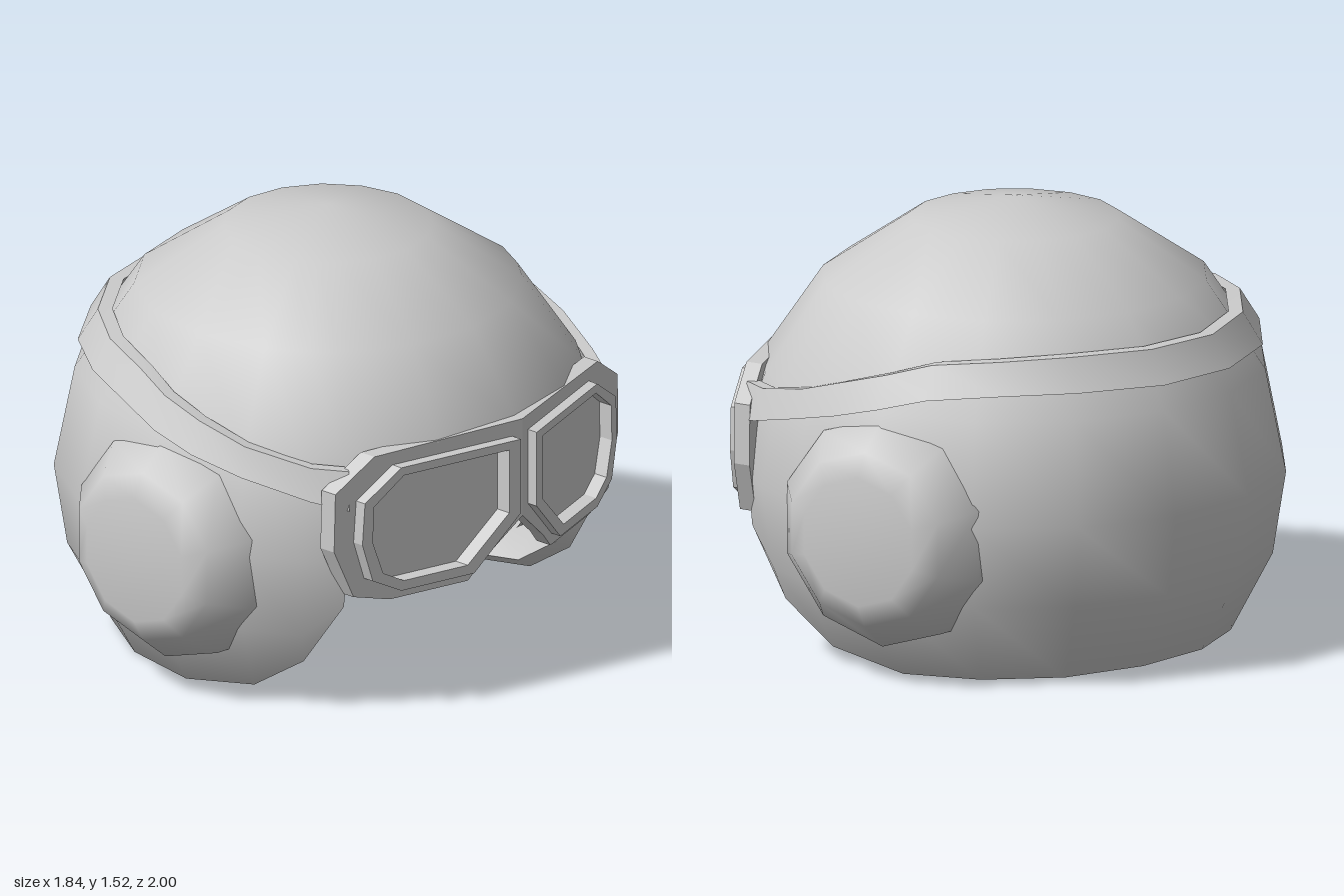
import * as THREE from 'three';
import { toCreasedNormals } from 'three/addons/utils/BufferGeometryUtils.js';

const CENTER_Y = 0.59, R_OUT = 0.93, R_IN = 0.875;
const rad = THREE.MathUtils.degToRad;
const material = new THREE.MeshStandardMaterial({ color: 0xcccccc });

function part(name, geometry) {
  const mesh = new THREE.Mesh(geometry, material);
  mesh.name = name;
  return mesh;
}

// Point on the helmet sphere: longitude from +x towards +z, elevation up
function onSphere(r, lon, el) {
  const c = r * Math.cos(rad(el));
  return new THREE.Vector3(c * Math.cos(rad(lon)), CENTER_Y + r * Math.sin(rad(el)), c * Math.sin(rad(lon)));
}

// Skin over rows of points
function skin(rows) {
  const n = rows[0].length, index = [];
  for (let i = 0; i < rows.length - 1; i++) {
    for (let j = 0; j < n - 1; j++) {
      const a = i * n + j, b = a + n;
      index.push(a, a + 1, b, a + 1, b + 1, b);
    }
  }
  const g = new THREE.BufferGeometry().setFromPoints(rows.flat());
  g.setIndex(index);
  g.computeVertexNormals();
  return g;
}

// Mirror a table of [longitude, ...values] from one half to the full turn
function fullTurn(half) {
  const back = half.filter(([lon]) => lon < 180).reverse();
  return [...half, ...back.map(([lon, ...v]) => [360 - lon, ...v])];
}

// Shell: outer and inner dome cut off at the rim, joined by a rim strip
function helmetShell() {
  const columns = fullTurn([
    [0, 23], [22.5, 23.5], [42.5, 19], [45, -10.5], [54, -25.5], [67.5, -35], [90, -39],
    [112.5, -38.5], [135, -38], [157.5, -37.2], [180, -37],
  ]);
  const levels = [90, 67.5, 45, 22.5, 0, -18, -40];
  const rowsAt = (r) => levels.map((el) => columns.map(([lon, rim]) => onSphere(r, lon, Math.max(el, rim))));
  const dome = (rows, sign) => {
    const g = skin(rows);
    const p = g.attributes.position, v = new THREE.Vector3();
    for (let i = 0; i < p.count; i++) {
      v.fromBufferAttribute(p, i);
      v.y -= CENTER_Y;
      v.normalize().multiplyScalar(sign);
      g.attributes.normal.setXYZ(i, v.x, v.y, v.z);
    }
    return g;
  };
  const outer = rowsAt(R_OUT), inner = rowsAt(R_IN);
  const group = new THREE.Group();
  group.name = 'helmetShell';
  group.add(
    part('outerShell', dome(outer, 1)),
    part('innerLining', dome([...inner].reverse(), -1)),
    part('shellRim', toCreasedNormals(skin([outer.at(-1), inner.at(-1)]), 0.6)),
  );
  return group;
}

// Ten-sided domed ear cup pointing along +z
function earCup(name, side) {
  const profile = [[0.41, 0.68], [0.4, 0.84], [0.305, 0.955], [0.225, 1], [0, 1]]
    .map(([r, h]) => new THREE.Vector2(r, h));
  const g = new THREE.LatheGeometry(profile, 10);
  g.rotateX(Math.PI / 2);
  const cup = part(name, g);
  cup.position.set(0.01, 0.525, 0);
  if (side < 0) cup.rotation.y = Math.PI;
  return cup;
}

// Strap: flat band hugging the shell, high at the back and low at the goggles
function strap() {
  // longitude, top height, bottom height, radius
  const stations = fullTurn([
    [44, 0.92, 0.79, 0.985], [52, 0.925, 0.815, 0.97], [67, 0.975, 0.875, 0.963], [79, 1.03, 0.92, 0.963],
    [90, 1.075, 0.965, 0.963], [101, 1.12, 1.01, 0.96], [118, 1.14, 1.035, 0.96], [136, 1.15, 1.04, 0.96],
    [158, 1.145, 1.033, 0.96], [180, 1.14, 1.03, 0.96],
  ]);
  const row = (edge, inset) => stations.map((s) => {
    const r = s[3] - inset;
    return onSphere(r, s[0], THREE.MathUtils.radToDeg(Math.asin((s[edge] - CENTER_Y) / r)));
  });
  const rows = [row(1, 0), row(2, 0), row(2, 0.04), row(1, 0.04), row(1, 0)];
  return part('goggleStrap', toCreasedNormals(skin(rows), 0.7));
}

// Goggle outlines: distance from the nose, height
const PLATE = [[0, 0.62], [0.16, 0.485], [0.21, 0.43], [0.51, 0.43], [0.65, 0.47], [0.725, 0.65],
  [0.72, 0.86], [0.57, 0.965], [0, 0.975]];
const FRAME = [[0.04, 0.65], [0.22, 0.47], [0.5, 0.47], [0.61, 0.53], [0.65, 0.67], [0.64, 0.82],
  [0.5, 0.92], [0.04, 0.92]];
const LENS = [[0.085, 0.66], [0.245, 0.505], [0.49, 0.505], [0.57, 0.55], [0.61, 0.67], [0.605, 0.8],
  [0.49, 0.89], [0.085, 0.89]];
const points = (list) => list.map(([u, v]) => new THREE.Vector2(u, v));

// Slab from an outline, swept back away from the nose
function slab(name, outline, hole, back, front) {
  const shape = new THREE.Shape(points(outline));
  if (hole) shape.holes.push(new THREE.Path(points(hole)));
  const g = new THREE.ExtrudeGeometry(shape, { depth: front - back, bevelEnabled: false });
  const p = g.attributes.position;
  for (let i = 0; i < p.count; i++) {
    const u = p.getX(i);
    p.setXYZ(i, back + p.getZ(i) - 0.29 * u, p.getY(i), -u);
  }
  g.computeVertexNormals();
  return part(name, g);
}

function goggleHalf(name, mirror) {
  const half = new THREE.Group();
  half.name = name;
  half.add(
    slab('gogglePlate', PLATE, LENS, 0.82, 0.882),
    slab('lensFrame', FRAME, LENS, 0.87, 0.922),
    slab('lens', LENS, null, 0.84, 0.868),
  );
  if (mirror) half.scale.z = -1;
  return half;
}

export function createModel() {
  const model = new THREE.Group();
  model.name = 'helmetWithGoggles';
  model.add(
    helmetShell(),
    earCup('earCupFront', 1),
    earCup('earCupBack', -1),
    strap(),
    goggleHalf('goggleBack', false),
    goggleHalf('goggleFront', true),
  );
  return model;
}
